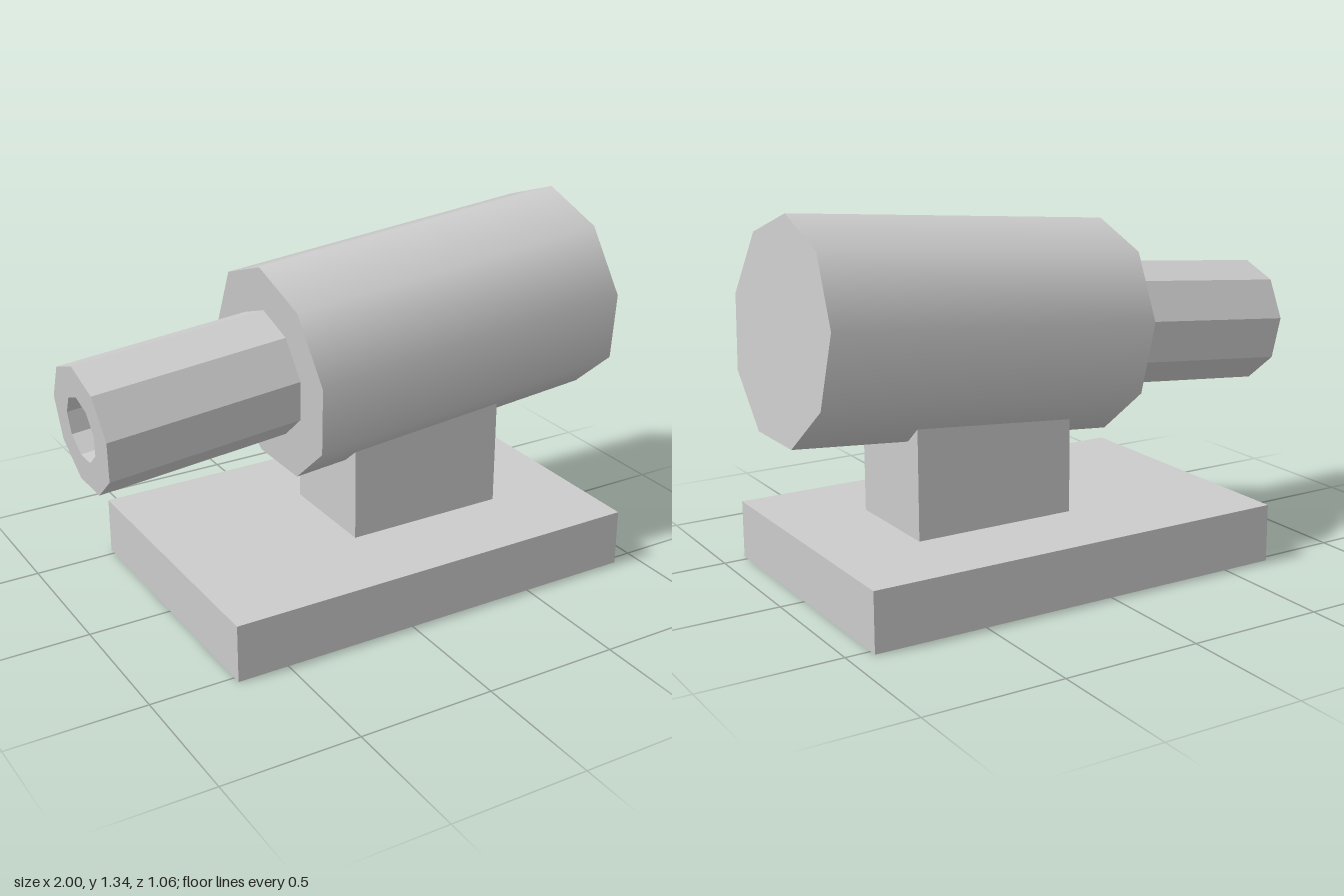
import * as THREE from 'three';

const grey = new THREE.MeshStandardMaterial({ color: 0xcccccc, side: THREE.DoubleSide });
const faceted = new THREE.MeshStandardMaterial({ color: 0xcccccc, side: THREE.DoubleSide, flatShading: true });

function add(parent, name, geometry, material) {
  const mesh = new THREE.Mesh(geometry, material);
  mesh.name = name;
  parent.add(mesh);
  return mesh;
}

// Flat per-face normals
function facet(geometry) {
  const g = geometry.toNonIndexed();
  g.computeVertexNormals();
  return g;
}

// Four upright walls, open above and below
function walls(x, y0, y1, width, depth) {
  const g = new THREE.CylinderGeometry(Math.SQRT1_2, Math.SQRT1_2, 1, 4, 1, true);
  g.rotateY(Math.PI / 4).scale(width, y1 - y0, depth).translate(x, (y0 + y1) / 2, 0);
  return facet(g);
}

function rectangle(path, x, width, depth) {
  const a = x - width / 2, b = x + width / 2, d = depth / 2;
  path.moveTo(a, -d).lineTo(b, -d).lineTo(b, d).lineTo(a, d).closePath();
  return path;
}

// Turn the upright axis to point along -x, with the first side's corner on top
function layDown(geometry) {
  return geometry.rotateX(-Math.PI / 2).rotateY(Math.PI / 2);
}

export function createModel() {
  const model = new THREE.Group();
  model.name = 'cannon';
  const base = { x: 0.11, width: 1.6, depth: 1.06, height: 0.213 };
  const post = { x: 0.265, width: 0.61, depth: 0.405, top: 0.66 };

  // Hollow base: thin walls and a top pierced by the post, open underneath
  add(model, 'baseWalls', walls(base.x, 0, base.height, base.width, base.depth), faceted);
  const plate = rectangle(new THREE.Shape(), base.x, base.width, base.depth);
  plate.holes.push(rectangle(new THREE.Path(), post.x, post.width, post.depth));
  const top = new THREE.ShapeGeometry(plate).rotateX(-Math.PI / 2).translate(0, base.height, 0);
  add(model, 'baseTop', top, faceted);

  // Hollow post running up into the body
  add(model, 'post', walls(post.x, base.height, post.top, post.width, post.depth), faceted);

  // Tilted gun: nine-sided body and barrel sharing one axis
  const gun = new THREE.Group();
  gun.name = 'gun';
  gun.position.set(0.347, 0.896, 0);
  gun.rotation.z = THREE.MathUtils.degToRad(4.95);
  model.add(gun);

  add(gun, 'body', layDown(new THREE.CylinderGeometry(0.388, 0.388, 1.24, 9)), grey);

  // Barrel profile: outer wall, muzzle rim, bore, bore floor
  const profile = [[0.23, 0.6], [0.23, 1.332], [0.117, 1.332], [0.117, 0.63], [0, 0.63]]
    .map(([r, y]) => new THREE.Vector2(r, y));
  add(gun, 'barrel', facet(layDown(new THREE.LatheGeometry(profile, 9))), faceted);

  return model;
}
